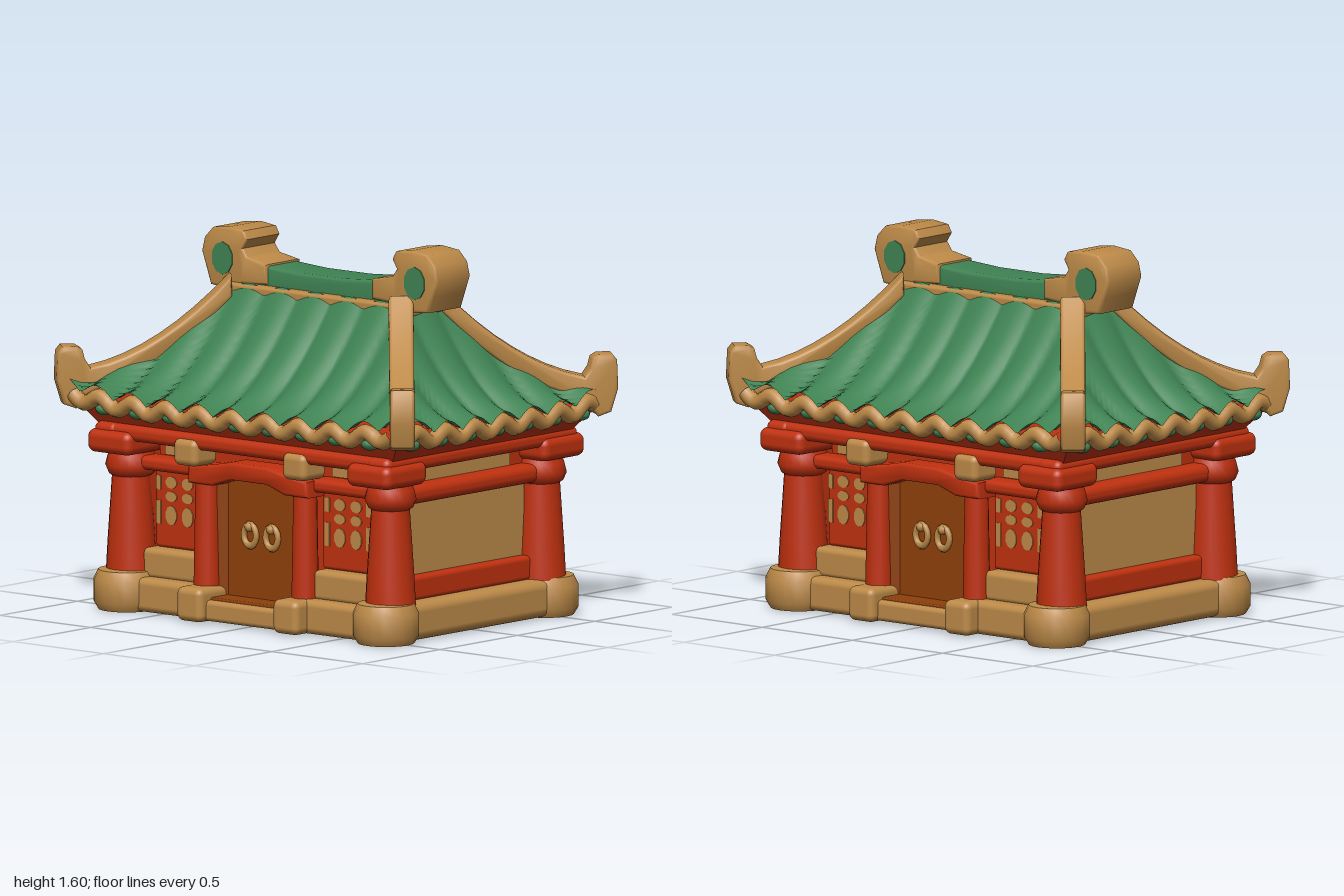
import * as THREE from 'three';
import { RoundedBoxGeometry } from 'three/addons/geometries/RoundedBoxGeometry.js';
import { toCreasedNormals } from 'three/addons/utils/BufferGeometryUtils.js';

const mat = (name, color, side = THREE.FrontSide) => {
  const m = new THREE.MeshStandardMaterial({ color, side });
  m.name = name;
  return m;
};

export function createModel() {
  const root = new THREE.Group();
  root.name = 'pavilion';
  const tan = mat('sandstone', 0xbd8a48);
  const red = mat('red lacquer', 0xbf310f);
  const green = mat('green tile', 0x3f8253, THREE.DoubleSide);
  const brown = mat('brown wood', 0x8f400b);

  const add = (name, geo, material, x = 0, y = 0, z = 0, parent = root) => {
    const m = new THREE.Mesh(geo, material);
    m.name = name;
    m.position.set(x, y, z);
    parent.add(m);
    return m;
  };
  // Rounded block given by its min and max on each axis
  const block = (name, material, [x0, x1], [y0, y1], [z0, z1], r = 0.02, parent = root) =>
    add(name, new RoundedBoxGeometry(x1 - x0, y1 - y0, z1 - z0, 3, r), material,
      (x0 + x1) / 2, (y0 + y1) / 2, (z0 + z1) / 2, parent);
  const plate = (name, material, w, h, x, y, z, parent) =>
    add(name, new THREE.BoxGeometry(w, h, 0.008), material, x, y, z, parent);
  const extrude = (points, depth) => {
    const s = new THREE.Shape(points.map(([x, y]) => new THREE.Vector2(x, y)));
    const g = new THREE.ExtrudeGeometry(s, { depth: depth - 0.03, bevelThickness: 0.015, bevelSize: 0.015,
      bevelOffset: -0.015, bevelSegments: 3 });
    g.translate(0, 0, -(depth - 0.03) / 2);
    return toCreasedNormals(g, 0.8);
  };
  const lathe = (pts, n = 20) =>
    toCreasedNormals(new THREE.LatheGeometry(pts.map(([x, y]) => new THREE.Vector2(x, y)), n), 0.8);
  const disc = new THREE.CylinderGeometry(1, 1, 0.008, 10).rotateX(Math.PI / 2);

  // ---------- Corner columns with hollow stone feet and capitals ----------
  const foot = lathe([[0, 0.08], [0.085, 0.07], [0.1, 0.01], [0.12, 0.012], [0.14, 0.045], [0.14, 0.14], [0.12, 0.18], [0, 0.19]]);
  const shaft = lathe([[0.107, 0.17], [0.1, 0.3], [0.08, 0.6]]);
  const capital = lathe([[0.07, 0.57], [0.095, 0.585], [0.11, 0.62], [0.1, 0.66], [0.09, 0.69], [0, 0.7]]);
  for (const sx of [-1, 1]) for (const sz of [-1, 1]) {
    const x = sx * 0.715, z = sz * 0.485;
    add('columnFoot', foot, tan, x, 0, sz * 0.515);
    add('cornerColumn', shaft, red, x, 0, z);
    add('columnCapital', capital, red, x, 0, z);
    add('cornerBracket', new RoundedBoxGeometry(0.24, 0.1, 0.27, 3, 0.035), red, x, 0.73, sz * 0.51);
  }

  // ---------- Front and back facades ----------
  for (const turn of [0, Math.PI]) {
    const f = new THREE.Group();
    f.name = turn ? 'backFacade' : 'frontFacade';
    f.rotation.y = turn;
    root.add(f);
    block('facadeWall', red, [-0.6, 0.6], [0.12, 0.79], [0.4, 0.44], 0.01, f);
    block('topBeam', red, [-0.81, 0.81], [0.74, 0.81], [0.48, 0.615], 0.03, f);
    // Recessed door with sill and ring handles
    plate('door', brown, 0.46, 0.56, 0, 0.38, 0.47, f);
    block('doorSill', brown, [-0.21, 0.21], [0.1, 0.118], [0.42, 0.58], 0.006, f);
    block('doorStep', tan, [-0.23, 0.23], [0.02, 0.108], [0.42, 0.61], 0.02, f);
    for (const s of [-1, 1]) {
      plate('doorJamb', brown, 0.1, 0.52, s * 0.215, 0.37, 0.5, f).rotation.y = -s * 0.9;
      add('doorRing', new THREE.TorusGeometry(0.034, 0.013, 8, 14), tan, s * 0.06, 0.385, 0.485, f).scale.y = 1.3;
      add('doorKnob', new THREE.SphereGeometry(0.02, 10, 8), tan, s * 0.06, 0.42, 0.49, f);
    }
    // Arched lintel over the door
    add('doorLintel', extrude([[-0.33, 0.59], [-0.2, 0.59], [-0.1, 0.625], [0.1, 0.625], [0.2, 0.59], [0.33, 0.59],
      [0.33, 0.66], [0.2, 0.68], [0.1, 0.7], [-0.1, 0.7], [-0.2, 0.68], [-0.33, 0.66]], 0.13), red, 0, 0, 0.51, f);
    for (const s of [-1, 1]) {
      block('plinth', tan, [s * 0.46 - 0.25, s * 0.46 + 0.25], [0.015, 0.16], [0.39, 0.58], 0.03, f);
      block('postFoot', tan, [s * 0.265 - 0.07, s * 0.265 + 0.07], [0.015, 0.16], [0.45, 0.65], 0.03, f);
      add('doorPost', new THREE.CylinderGeometry(0.05, 0.058, 0.46, 16), red, s * 0.27, 0.38, 0.515, f);
      block('bracketCap', tan, [s * 0.3 - 0.065, s * 0.3 + 0.065], [0.67, 0.785], [0.48, 0.635], 0.03, f);
      block('lowerWall', tan, [s * 0.47 - 0.16, s * 0.47 + 0.16], [0.15, 0.28], [0.42, 0.52], 0.025, f);
      block('windowHead', red, [s * 0.47 - 0.17, s * 0.47 + 0.17], [0.61, 0.67], [0.42, 0.53], 0.025, f);
      plate('friezePanel', tan, 0.2, 0.075, s * 0.46, 0.71, 0.444, f);
      // Lattice window: rounded panes between two edge strips
      block('windowFrame', red, [s * 0.46 - 0.14, s * 0.46 + 0.14], [0.28, 0.62], [0.42, 0.465], 0.015, f);
      for (const dx of [-0.045, 0.045]) for (const [y, h] of [[0.42, 0.042], [0.5, 0.022], [0.56, 0.026]])
        add('latticePane', disc, tan, s * 0.465 + dx, y, 0.465, f).scale.set(0.031, h, 1);
      for (const dx of [-0.115, 0.115]) for (const [y, h] of [[0.43, 0.1], [0.555, 0.06]])
        plate('latticeStrip', tan, 0.026, h, s * 0.465 + dx, y, 0.465, f);
    }
  }

  // ---------- Side walls ----------
  for (const s of [-1, 1]) {
    const g = new THREE.Group();
    g.name = s > 0 ? 'leftWall' : 'rightWall';
    g.rotation.y = s * Math.PI / 2;
    root.add(g);
    block('sideWall', red, [-0.47, 0.47], [0.12, 0.79], [0.64, 0.69], 0.01, g);
    block('sidePlinth', tan, [-0.5, 0.5], [0.015, 0.175], [0.62, 0.81], 0.04, g);
    plate('plasterPanel', tan, 0.8, 0.31, 0, 0.43, 0.692, g);
    plate('upperPanel', tan, 0.62, 0.08, 0, 0.705, 0.692, g);
    block('sill', red, [-0.45, 0.45], [0.17, 0.275], [0.66, 0.74], 0.02, g);
    block('midBeam', red, [-0.45, 0.45], [0.585, 0.665], [0.66, 0.77], 0.035, g);
    block('sideTopBeam', red, [-0.62, 0.62], [0.74, 0.81], [0.69, 0.815], 0.03, g);
  }

  // ---------- Roof ----------
  // Flared soffit between beams and eaves
  const soffit = new THREE.CylinderGeometry(0.89 * Math.SQRT2, 0.79 * Math.SQRT2, 0.12, 4).rotateY(Math.PI / 4);
  add('soffit', toCreasedNormals(soffit, 0.3), red, 0, 0.835, 0).scale.z = 0.72;
  const PITCH = 0.183;
  const scallop = (x) => Math.cos(2 * Math.PI * x / PITCH);
  const roll = (x) => 2 * Math.abs(Math.cos(Math.PI * x / PITCH)) - 1;
  const hipY = (t) => 0.98 + 0.39 * (1 - t) ** 1.9;
  // Slope of rounded tile rolls: half widths a0-a1 and distances d0-d1 from ridge to eave
  const slope = (a0, a1, d0, d1) => {
    const g = new THREE.PlaneGeometry(2, 1, 120, 14), p = g.attributes.position;
    for (let i = 0; i < p.count; i++) {
      const u = p.getX(i), t = 0.5 - p.getY(i);
      const x = u * (a0 + (a1 - a0) * t);
      const y = hipY(t) - 0.05 * t * (1 - u ** 4) + (0.012 + 0.012 * t) * roll(x);
      p.setXYZ(i, x, y, d0 + (d1 - d0) * t);
    }
    g.computeVertexNormals();
    return g;
  };
  for (let k = 0; k < 4; k++) {
    const side = k % 2, a = side ? 0.66 : 0.92, d = side ? 0.915 : 0.67;
    const g = new THREE.Group();
    g.name = 'roofSide';
    g.rotation.y = k * Math.PI / 2;
    root.add(g);
    add('tileSlope', slope(side ? 0.13 : 0.47, a, side ? 0.47 : 0.13, d + 0.018), green, 0, 0, 0, g);
    // Scalloped eave edging with tile ends beneath
    const pts = [];
    for (let i = 0; i <= 60; i++) {
      const u = i / 30 - 1, x = u * (a - 0.04);
      pts.push(new THREE.Vector3(x, 0.893 + 0.025 * u ** 4 + 0.021 * scallop(x), d - 0.005));
    }
    add('eaveEdge', new THREE.TubeGeometry(new THREE.CatmullRomCurve3(pts), 120, 0.034, 8), tan, 0, 0, 0, g);
    const n = side ? 3 : 4;
    for (let i = -n; i <= n; i++)
      add('tileEnd', new THREE.SphereGeometry(0.042, 10, 8), green, i * PITCH, 0.872, d - 0.035, g).scale.y = 0.65;
  }

  // Hip ridges ending in upturned hooks
  const hipPts = [];
  for (let i = 0; i <= 8; i++) hipPts.push([i * 0.075, hipY(i * 0.075 / 0.709) + 0.042]);
  hipPts.push([0.625, 1.07], [0.635, 1.11], [0.66, 1.125], [0.72, 1.125], [0.74, 1.1], [0.745, 0.98],
    [0.715, 0.88], [0.66, 0.86], [0.61, 0.92]);
  for (let i = 7; i >= 0; i--) hipPts.push([i * 0.075, hipY(i * 0.075 / 0.709) - 0.05]);
  const hip = extrude(hipPts.reverse(), 0.105);
  for (const sx of [-1, 1]) for (const sz of [-1, 1])
    add('hipRidge', hip, tan, sx * 0.47, 0, sz * 0.13).rotation.y = Math.atan2(-sz * 0.53, sx * 0.46);

  // Main ridge, slightly sagging, with curled ends
  block('ridgeBase', tan, [-0.5, 0.5], [1.32, 1.375], [-0.145, 0.145], 0.015);
  add('ridgeCap', extrude([[-0.45, 1.35], [0.45, 1.35], [0.45, 1.475], [0.3, 1.458], [0.12, 1.446], [-0.12, 1.446],
    [-0.3, 1.458], [-0.45, 1.475]], 0.2), green);
  const curl = extrude([[0.29, 1.38], [0.42, 1.37], [0.5, 1.34], [0.6, 1.35], [0.625, 1.42], [0.65, 1.49], [0.635, 1.55],
    [0.59, 1.595], [0.5, 1.605], [0.42, 1.595], [0.4, 1.56], [0.425, 1.52], [0.4, 1.485], [0.29, 1.465]], 0.225);
  for (const turn of [0, Math.PI]) {
    const g = new THREE.Group();
    g.name = 'ridgeEnd';
    g.rotation.y = turn;
    root.add(g);
    add('ridgeCurl', curl, tan, 0, 0, 0, g);
    for (const s of [-1, 1]) add('curlInlay', disc, green, 0.53, 1.47, s * 0.113, g).scale.set(0.058, 0.07, 1);
  }
  return root;
}
